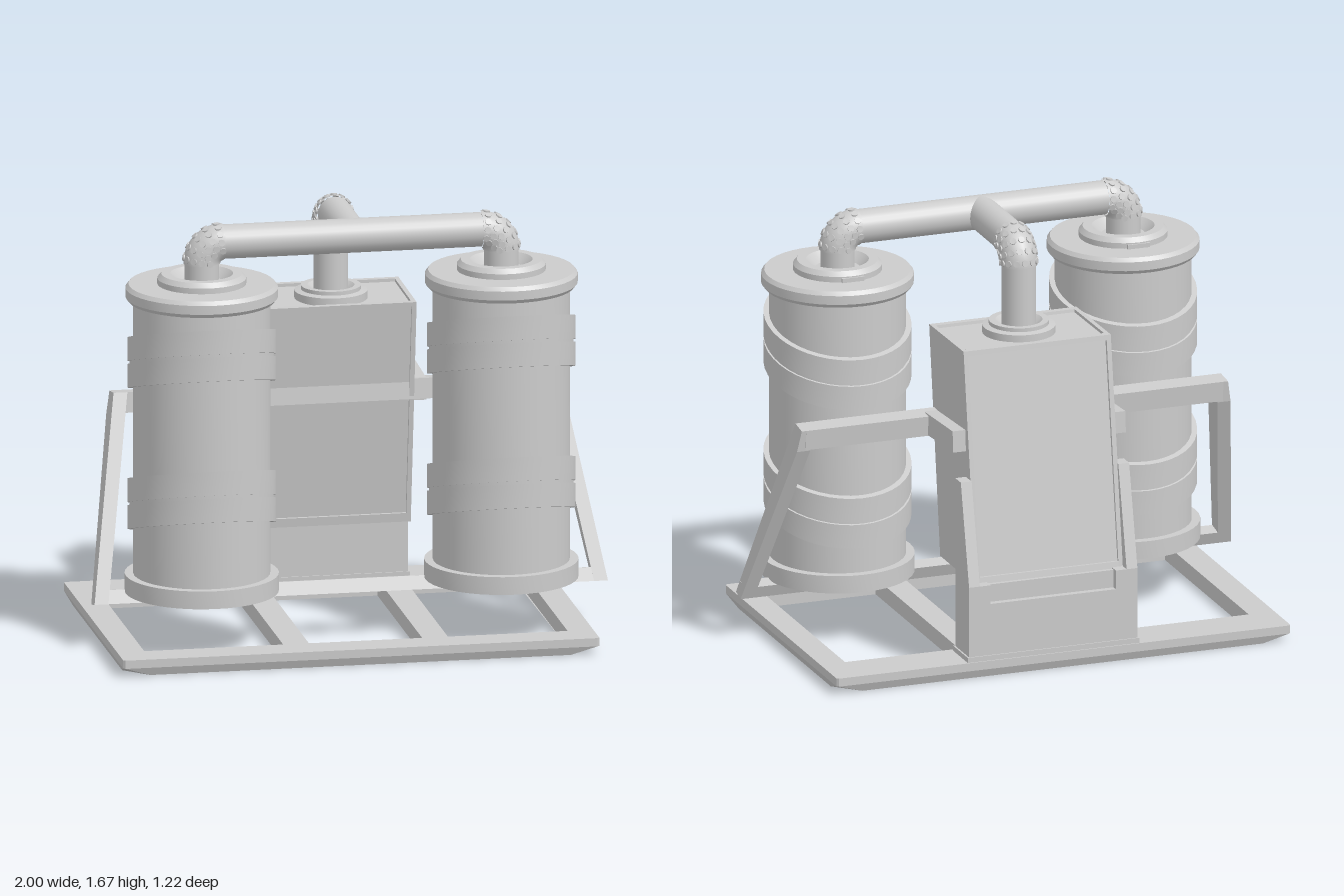
import * as THREE from 'three';
import { toCreasedNormals } from 'three/addons/utils/BufferGeometryUtils.js';

const mat = new THREE.MeshStandardMaterial({ color: 0xcccccc });

export function createModel() {
  const model = new THREE.Group();

  const add = (name, geo, x = 0, y = 0, z = 0, parent = model) => {
    const m = new THREE.Mesh(geo, mat);
    m.name = name;
    m.position.set(x, y, z);
    parent.add(m);
    return m;
  };
  const box = (name, x0, x1, y0, y1, z0, z1) =>
    add(name, new THREE.BoxGeometry(x1 - x0, y1 - y0, z1 - z0), (x0 + x1) / 2, (y0 + y1) / 2, (z0 + z1) / 2);
  // Side profile given as [z, y] points, extruded from x0 to x1
  const slab = (pts, x0, x1) => {
    const shape = new THREE.Shape(pts.map(p => new THREE.Vector2(...p)));
    return new THREE.ExtrudeGeometry(shape, { depth: x1 - x0, bevelEnabled: false })
      .rotateY(-Math.PI / 2).translate(x1, 0, 0);
  };
  const lathe = (pts) => toCreasedNormals(
    new THREE.LatheGeometry(pts.map(p => new THREE.Vector2(...p)), 40), 0.5);
  const pipe = (name, from, to, r = 0.066) => {
    const a = new THREE.Vector3(...from), b = new THREE.Vector3(...to);
    const m = add(name, new THREE.CylinderGeometry(r, r, a.distanceTo(b), 24));
    m.position.copy(a).add(b).multiplyScalar(0.5);
    m.quaternion.setFromUnitVectors(new THREE.Vector3(0, 1, 0), b.sub(a).normalize());
  };

  // Base frame: three openings, undercut at the lower corners
  const X = 0.925, Z = 0.61, c = 0.008, cx = -0.04, H = 0.065;
  const frame = new THREE.Shape([
    [X, Z - c], [X - c, Z], [c - X, Z], [-X, Z - c], [-X, c - Z], [c - X, -Z], [X - c, -Z], [X, c - Z],
  ].map(p => new THREE.Vector2(...p)));
  for (const [a, b] of [[-0.86, -0.32], [-0.22, 0.22], [0.32, 0.785]]) {
    frame.holes.push(new THREE.Path([[a, -0.43], [b, -0.43], [b, 0.48], [a, 0.48]]
      .map(([x, z]) => new THREE.Vector2(x - cx, z))));
  }
  const baseGeo = new THREE.ExtrudeGeometry(frame, { depth: H, steps: 2, bevelEnabled: false })
    .rotateX(Math.PI / 2).translate(0, H, 0);
  const bp = baseGeo.attributes.position;
  for (let i = 0; i < bp.count; i++) {
    const x = bp.getX(i), z = bp.getZ(i);
    if (bp.getY(i) > 0.01 || (Math.abs(x) < X - 0.02 && Math.abs(z) < Z - 0.02)) continue;
    const onSide = Math.abs(x) > X - c / 2;
    bp.setX(i, x - Math.sign(x) * (onSide ? 0.015 : 0.1));
    bp.setZ(i, z - Math.sign(z) * (onSide ? 0.1 : 0.015));
  }
  baseGeo.computeVertexNormals();
  add('baseFrame', baseGeo, cx);

  // Canisters with slanted double straps
  const R = 0.08, pipeY = 1.59, canZ = 0.195;
  const canGeo = lathe([
    [0, 0.22], [0.295, 0.22], [0.295, 0.29], [0.262, 0.29], [0.262, 1.365], [0.28, 1.365],
    [0.292, 1.38], [0.292, 1.415], [0.28, 1.43], [0.17, 1.43], [0.17, 1.452], [0.155, 1.47],
    [0.12, 1.47], [0.085, 1.435], [0, 1.435],
  ]);
  const strapGeo = new THREE.CylinderGeometry(0.283, 0.283, 0.094, 40);
  const sp = strapGeo.attributes.position;
  for (let i = 0; i < sp.count; i++) sp.setY(i, sp.getY(i) + sp.getZ(i) * 0.29);
  strapGeo.computeVertexNormals();
  const strap = toCreasedNormals(strapGeo, 0.5);
  const groove = new THREE.CylinderGeometry(0.276, 0.276, 0.1, 40);
  const gp = groove.attributes.position;
  for (let i = 0; i < gp.count; i++) gp.setY(i, gp.getY(i) + gp.getZ(i) * 0.29);

  for (const s of [-1, 1]) {
    const can = new THREE.Group();
    can.name = s > 0 ? 'leftCanister' : 'rightCanister';
    can.position.set(s * 0.582, 0, canZ);
    model.add(can);
    add('canisterBody', canGeo, 0, 0, 0, can);
    for (const y of [1.133, 0.576]) {
      add('strapUpper', strap, 0, y + 0.053, 0, can);
      add('strapGroove', groove, 0, y, 0, can);
      add('strapLower', strap, 0, y - 0.053, 0, can);
    }
    add('lidTab', new THREE.BoxGeometry(0.09, 0.02, 0.02), 0, 1.437, -0.165, can);
  }

  // Studded elbow: rises at +x of its own frame, then turns toward -x
  const elbow = (name, x, z, turn) => {
    const g = new THREE.Group();
    g.name = name;
    g.position.set(x, pipeY - R, z);
    g.rotation.y = turn;
    model.add(g);
    const r = 0.071;
    add('elbowBend', new THREE.TorusGeometry(R, r, 20, 14, Math.PI / 2), 0, 0, 0, g);
    const stud = new THREE.CylinderGeometry(0.013, 0.013, 0.008, 8);
    for (let i = 0; i < 5; i++) {
      const u = (i + 0.5) / 5 * Math.PI / 2;
      for (let j = 0; j < 9; j++) {
        const v = (j - 4 + (i % 2) * 0.5) * 0.46;
        const n = new THREE.Vector3(Math.cos(v) * Math.cos(u), Math.cos(v) * Math.sin(u), Math.sin(v));
        const m = add('elbowStud', stud, 0, 0, 0, g);
        m.position.set(R * Math.cos(u), R * Math.sin(u), 0).addScaledVector(n, r);
        m.quaternion.setFromUnitVectors(new THREE.Vector3(0, 1, 0), n);
      }
    }
  };

  // Pipework
  const ex = 0.582, backZ = -0.225;
  for (const s of [-1, 1]) {
    pipe('canisterPipe', [s * ex, 1.43, canZ], [s * ex, pipeY - R, canZ]);
    elbow('canisterElbow', s * (ex - R), canZ, s > 0 ? 0 : Math.PI);
  }
  pipe('crossPipe', [R - ex, pipeY, canZ], [ex - R, pipeY, canZ]);
  pipe('backPipe', [0, pipeY, canZ], [0, pipeY, backZ + R]);
  elbow('backElbow', 0, backZ + R, Math.PI / 2);
  pipe('tankPipe', [0, 1.24, backZ], [0, pipeY - R, backZ]);
  add('pipeFlange', lathe([[0.14, 1.23], [0.14, 1.27], [0.115, 1.275], [0.115, 1.29], [0.09, 1.29], [0.06, 1.265]]),
    0, 0, backZ);

  // Tapered tank: recessed core between side plates and edge rails
  const outline = [[-0.17, 0.355], [-0.05, 1.25], [-0.425, 1.255], [-0.56, 0.355]];
  add('tankCore', slab([[-0.182, 0.365], [-0.064, 1.238], [-0.413, 1.243], [-0.548, 0.365]], -0.285, 0.285));
  for (const s of [-1, 1]) add('tankSide', slab(outline, s * 0.291 - 0.009, s * 0.291 + 0.009));
  const rails = [
    [[-0.17, 0.355], [-0.165, 0.39], [-0.21, 0.39], [-0.21, 0.355]],
    [[-0.05, 1.25], [-0.075, 1.25], [-0.078, 1.232], [-0.0525, 1.232]],
    [[-0.425, 1.255], [-0.4, 1.255], [-0.4, 1.235], [-0.428, 1.235]],
    [[-0.56, 0.355], [-0.555, 0.385], [-0.51, 0.385], [-0.51, 0.355]],
  ];
  for (const r of rails) add('tankRail', slab(r, -0.285, 0.285));

  // Rear stand with cheeks beside the tank and a notch in its back
  box('standFoot', -0.35, 0.35, 0.06, 0.085, -0.605, -0.445);
  box('standBlock', -0.343, 0.343, 0.085, 0.29, -0.6, -0.45);
  box('standNotch', -0.255, 0.255, 0.29, 0.36, -0.575, -0.45);
  for (const s of [-1, 1]) {
    box('standShoulder', Math.min(s * 0.255, s * 0.343), Math.max(s * 0.255, s * 0.343), 0.29, 0.365, -0.6, -0.45);
    add('standCheek', slab([[-0.45, 0.29], [-0.45, 0.76], [-0.51, 0.76], [-0.6, 0.365], [-0.6, 0.29]],
      s * 0.321 - 0.022, s * 0.321 + 0.022));
  }

  // Carrying frame: upper bar, arms along the tank, splayed legs, lower bar
  add('upperBar', slab([[-0.108, 0.934], [-0.183, 0.925], [-0.175, 0.845], [-0.1, 0.855]], -0.85, 0.85));
  add('lowerBar', slab([[0.19, 0.18], [0.134, 0.167], [0.112, 0.216], [0.168, 0.23]], -0.99, 0.99));
  for (const s of [-1, 1]) {
    add('tankArm', slab([[-0.12, 0.93], [-0.445, 0.947], [-0.45, 0.863], [-0.12, 0.845]],
      s * 0.325 - 0.027, s * 0.325 + 0.027));
    const leg = slab([[-0.108, 0.934], [-0.183, 0.925], [-0.17, 0.84], [0.134, 0.167], [0.19, 0.18]], -0.027, 0.027);
    const p = leg.attributes.position;
    for (let i = 0; i < p.count; i++) p.setX(i, p.getX(i) + s * (0.84 + (0.934 - p.getY(i)) * 0.173));
    leg.computeVertexNormals();
    add(s > 0 ? 'leftLeg' : 'rightLeg', leg);
  }
  return model;
}
